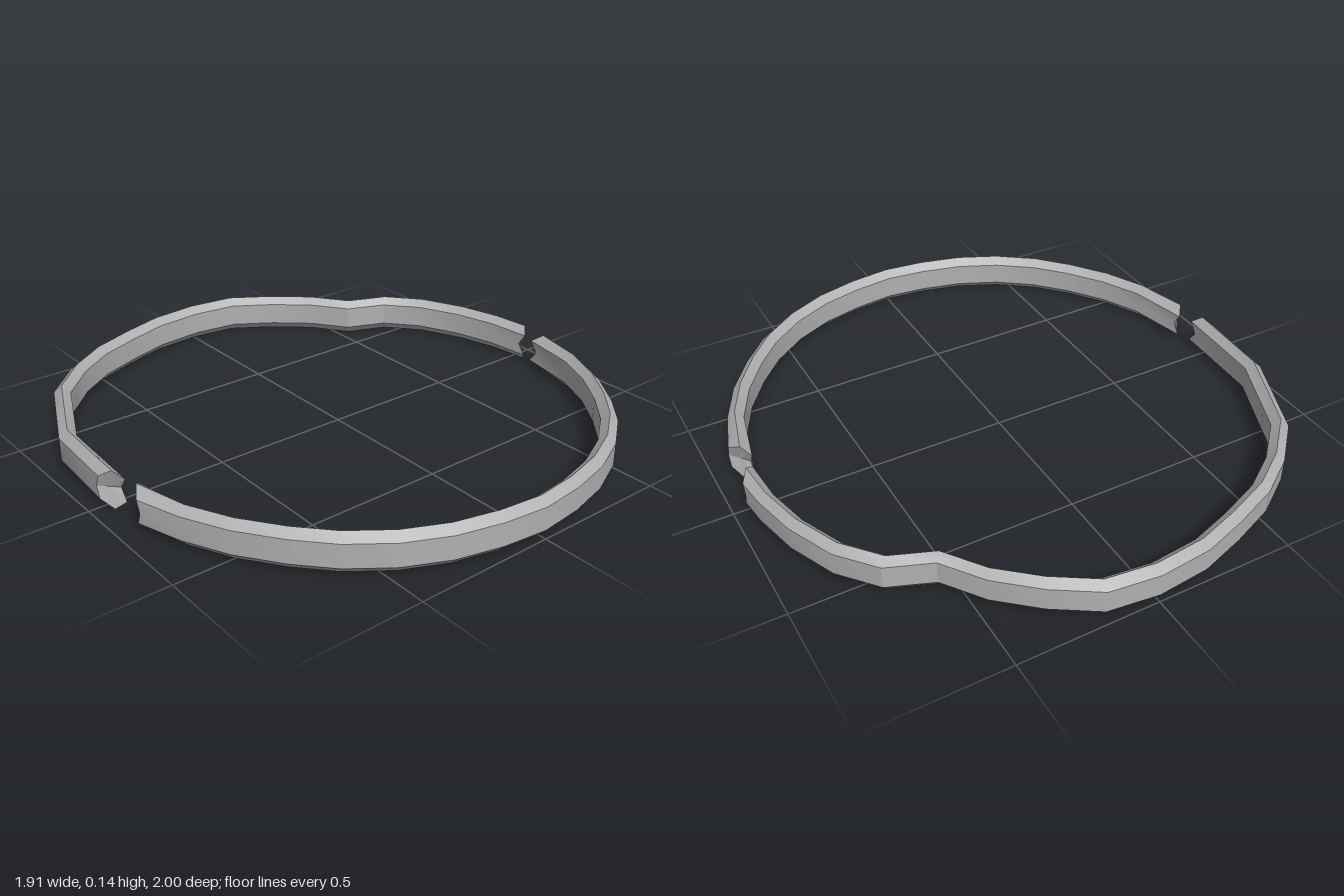
import * as THREE from 'three';
import { toCreasedNormals } from 'three/addons/utils/BufferGeometryUtils.js';

// Band cross-section: [scale of outline, height, reach of the notched end]
const SECTION = [
  [1, 0.03, 0], [1, 0.07, -0.015], [1, 0.113, 0], [0.97, 0.14, 0.04],
  [0.94, 0.113, 0.07], [0.94, 0.07, 0.04], [0.94, 0.03, 0.07], [0.97, 0, 0.04],
];

// Sweeps the section along an outline of [x, z] points; gap is the z direction towards the break
function bandGeometry(path, gap) {
  const n = SECTION.length;
  const last = path.length - 1;
  const positions = [];
  const index = [];
  path.forEach(([x, z], i) => {
    const end = i === 0 || i === last;
    for (const [s, y, reach] of SECTION) {
      positions.push(x * s, y, z * s + (end ? gap * reach : 0));
    }
  });
  for (let i = 0; i < last; i++) {
    for (let j = 0; j < n; j++) {
      const a = i * n + j, b = i * n + (j + 1) % n;
      index.push(a, a + n, b, b, a + n, b + n);
    }
  }
  // Hollowed end caps
  for (const i of [0, last]) {
    const [x, z] = path[i];
    const centre = positions.length / 3;
    positions.push(x * 0.97, 0.07, z * 0.97 + gap * 0.01);
    for (let j = 0; j < n; j++) {
      const a = i * n + j, b = i * n + (j + 1) % n;
      if (i === 0) index.push(centre, a, b);
      else index.push(centre, b, a);
    }
  }
  const geometry = new THREE.BufferGeometry();
  geometry.setAttribute('position', new THREE.Float32BufferAttribute(positions, 3));
  geometry.setIndex(index);
  return toCreasedNormals(geometry, 0.46);
}

export function createModel() {
  const group = new THREE.Group();
  group.name = 'brokenRing';
  const metal = new THREE.MeshStandardMaterial({ color: 0xb0b0b0 });
  metal.name = 'grey metal';

  // Even front arc, mirrored about the middle
  const half = [
    [0.935, 0.2], [0.885, 0.36], [0.81, 0.515], [0.71, 0.655], [0.605, 0.77],
    [0.47, 0.87], [0.32, 0.94], [0.16, 0.98],
  ];
  const front = [
    ...half.map(([x, z]) => [-x, z]), [0, 0.998], ...half.slice().reverse(),
  ];

  // Dented back arc, from the left side round to the right
  const back = [
    [0.953, 0], [0.94, -0.105], [0.9, -0.27], [0.825, -0.44], [0.717, -0.567],
    [0.562, -0.628], [0.462, -0.767], [0.33, -0.882], [0.18, -0.978], [0, -1],
    [-0.188, -0.982], [-0.355, -0.928], [-0.52, -0.862], [-0.662, -0.766],
    [-0.797, -0.628], [-0.94, -0.3], [-0.957, 0],
  ];

  const frontArc = new THREE.Mesh(bandGeometry(front, -1), metal);
  frontArc.name = 'frontArc';
  const backArc = new THREE.Mesh(bandGeometry(back, 1), metal);
  backArc.name = 'dentedBackArc';
  group.add(frontArc, backArc);
  return group;
}
